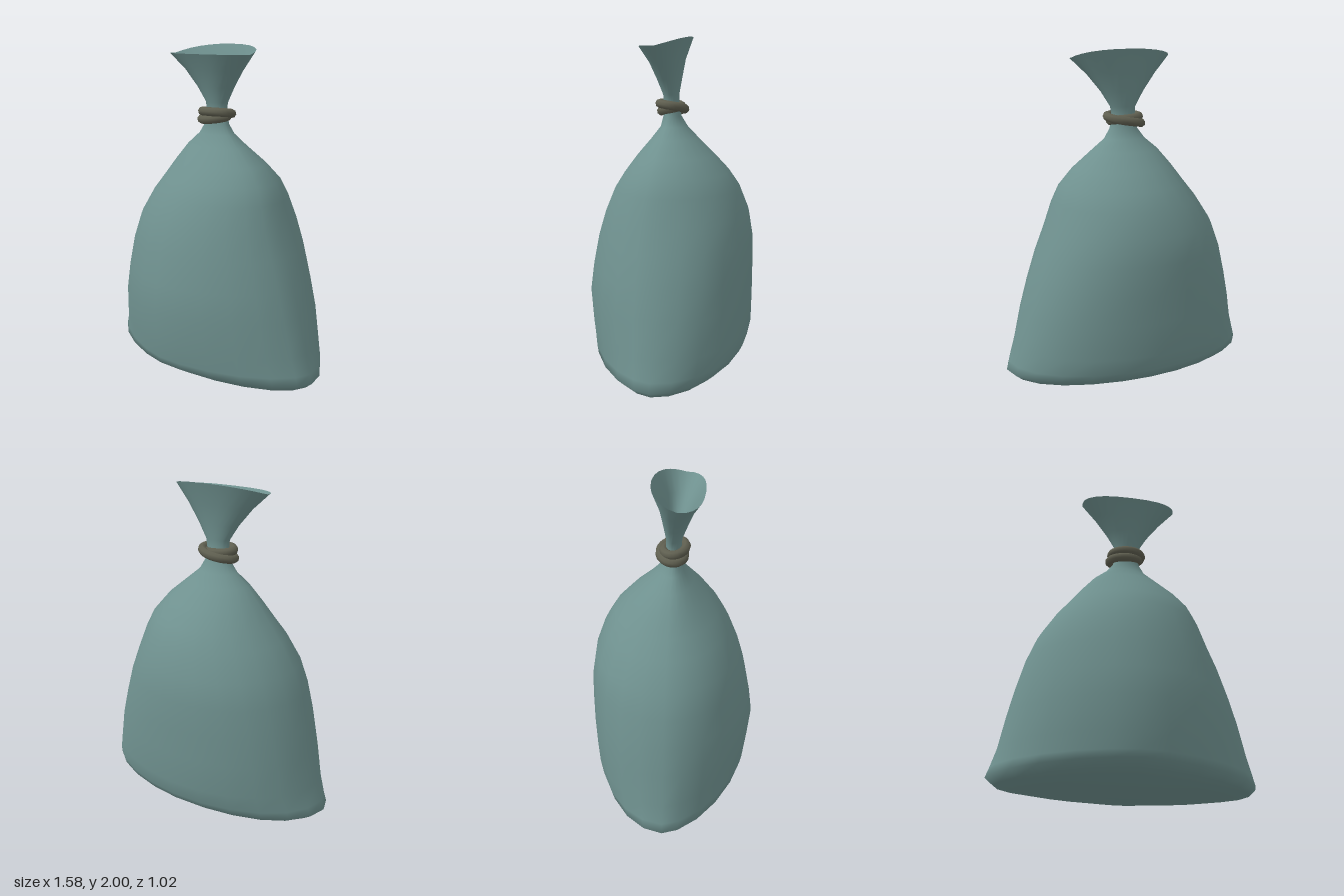
import * as THREE from 'three';

const SEGMENTS = 24;

// Point on a lopsided superellipse: separate front and back fullness
function sectionPoint([y, xl, xr, zf, zb, nf, nb, cz = 0, lift = 0, tilt = 0], i) {
  const a = (i / SEGMENTS) * Math.PI * 2;
  const c = Math.cos(a), s = Math.sin(a);
  const e = 2 / (s >= 0 ? nf : nb);
  const px = Math.sign(c) * Math.pow(Math.abs(c), e);
  const pz = Math.sign(s) * Math.pow(Math.abs(s), e);
  return [
    (xl + xr) / 2 + px * (xr - xl) / 2,
    y + lift * s * s - tilt * Math.min(s, 0),
    cz + (s >= 0 ? pz * (zf - cz) : -pz * (zb - cz)),
  ];
}

// Smooth skin over sections listed upwards, with optional closing point below
function loft(sections, bottom, inward) {
  const pos = [], index = [];
  const tri = (a, b, c) => (inward ? index.push(a, c, b) : index.push(a, b, c));
  for (const section of sections) {
    for (let i = 0; i < SEGMENTS; i++) pos.push(...sectionPoint(section, i));
  }
  for (let j = 0; j < sections.length - 1; j++) {
    for (let i = 0; i < SEGMENTS; i++) {
      const k = (i + 1) % SEGMENTS;
      const a = j * SEGMENTS + i, b = j * SEGMENTS + k;
      const c = a + SEGMENTS, d = b + SEGMENTS;
      tri(a, c, b);
      tri(b, c, d);
    }
  }
  const tip = pos.length / 3;
  pos.push(...bottom);
  for (let i = 0; i < SEGMENTS; i++) tri(tip, i, (i + 1) % SEGMENTS);
  const geometry = new THREE.BufferGeometry();
  geometry.setAttribute('position', new THREE.Float32BufferAttribute(pos, 3));
  geometry.setIndex(index);
  geometry.computeVertexNormals();
  return geometry;
}

export function createModel() {
  const group = new THREE.Group();
  const cloth = new THREE.MeshStandardMaterial({ color: 0x6f918f });
  const cord = new THREE.MeshStandardMaterial({ color: 0x5f5f50 });
  const add = (name, geometry, material) => {
    const mesh = new THREE.Mesh(geometry, material);
    mesh.name = name;
    group.add(mesh);
  };

  // y, left x, right x, front z, back z, front and back fullness, centre z, lift, back tilt
  const body = [
    [0.005, -0.25, 0.25, 0.15, -0.2, 2, 2],
    [0.025, -0.58, 0.58, 0.30, -0.32, 1.8, 1.9, 0, 0.01],
    [0.045, -0.74, 0.74, 0.40, -0.41, 1.7, 1.9, 0, 0.025],
    [0.085, -0.79, 0.785, 0.475, -0.465, 1.65, 1.9, 0, 0.03],
    [0.14, -0.77, 0.77, 0.485, -0.485, 1.65, 1.95, 0, 0.015],
    [0.25, -0.735, 0.735, 0.495, -0.505, 1.7, 2],
    [0.45, -0.695, 0.685, 0.512, -0.508, 1.75, 2.1],
    [0.62, -0.655, 0.635, 0.49, -0.508, 1.8, 2.1],
    [0.80, -0.605, 0.575, 0.455, -0.505, 1.85, 2.1],
    [0.95, -0.545, 0.515, 0.41, -0.48, 1.9, 2.1],
    [1.10, -0.45, 0.465, 0.345, -0.425, 1.9, 2],
    [1.20, -0.37, 0.42, 0.28, -0.36, 1.9, 2],
    [1.30, -0.295, 0.335, 0.205, -0.265, 1.9, 2],
    [1.40, -0.21, 0.215, 0.12, -0.16, 2, 2],
    [1.47, -0.125, 0.13, 0.065, -0.095, 2, 2],
    [1.53, -0.08, 0.095, 0.05, -0.06, 2, 2],
  ];
  const neck = [[1.60, -0.065, 0.08, 0.045, -0.045, 2, 2]];
  const mouth = [
    [1.66, -0.07, 0.09, 0.05, -0.045, 2, 2],
    [1.75, -0.125, 0.145, 0.085, -0.06, 2.1, 2.1, 0.01],
    [1.85, -0.205, 0.225, 0.125, -0.08, 2.3, 2.2, 0.025, 0, 0.02],
    [1.945, -0.30, 0.32, 0.18, -0.125, 2.5, 2.2, 0.05, 0, 0.055],
  ];
  add('sack', loft([...body, ...neck, ...mouth], [0, 0, 0], false), cloth);

  // Inside of the open mouth, pinched shut at the neck and meeting the rim
  const lining = mouth.map((m, j) => {
    const inset = j < mouth.length - 1 ? 0.008 : 0;
    const [y, xl, xr, zf, zb, ...rest] = m;
    return [y, xl + inset, xr - inset, zf - inset, zb + inset, ...rest];
  });
  add('mouthLining', loft(lining, [0.015, 1.63, 0.01], true), cloth);

  // Cord wound twice round the neck, the two turns crossing at one side
  const points = [];
  for (let i = 0; i < 32; i++) {
    const t = (i / 32) * Math.PI * 4;
    const swell = 0.012 * Math.cos(t / 2 + 0.5);
    points.push(new THREE.Vector3(
      Math.cos(t) * (0.098 + swell),
      1.583 + 0.025 * Math.sin(t / 2 + 0.5) + 0.006 * Math.cos(t),
      Math.sin(t) * (0.068 + swell),
    ));
  }
  const path = new THREE.CatmullRomCurve3(points, true);
  add('neckCord', new THREE.TubeGeometry(path, 64, 0.027, 8, true), cord);

  return group;
}
